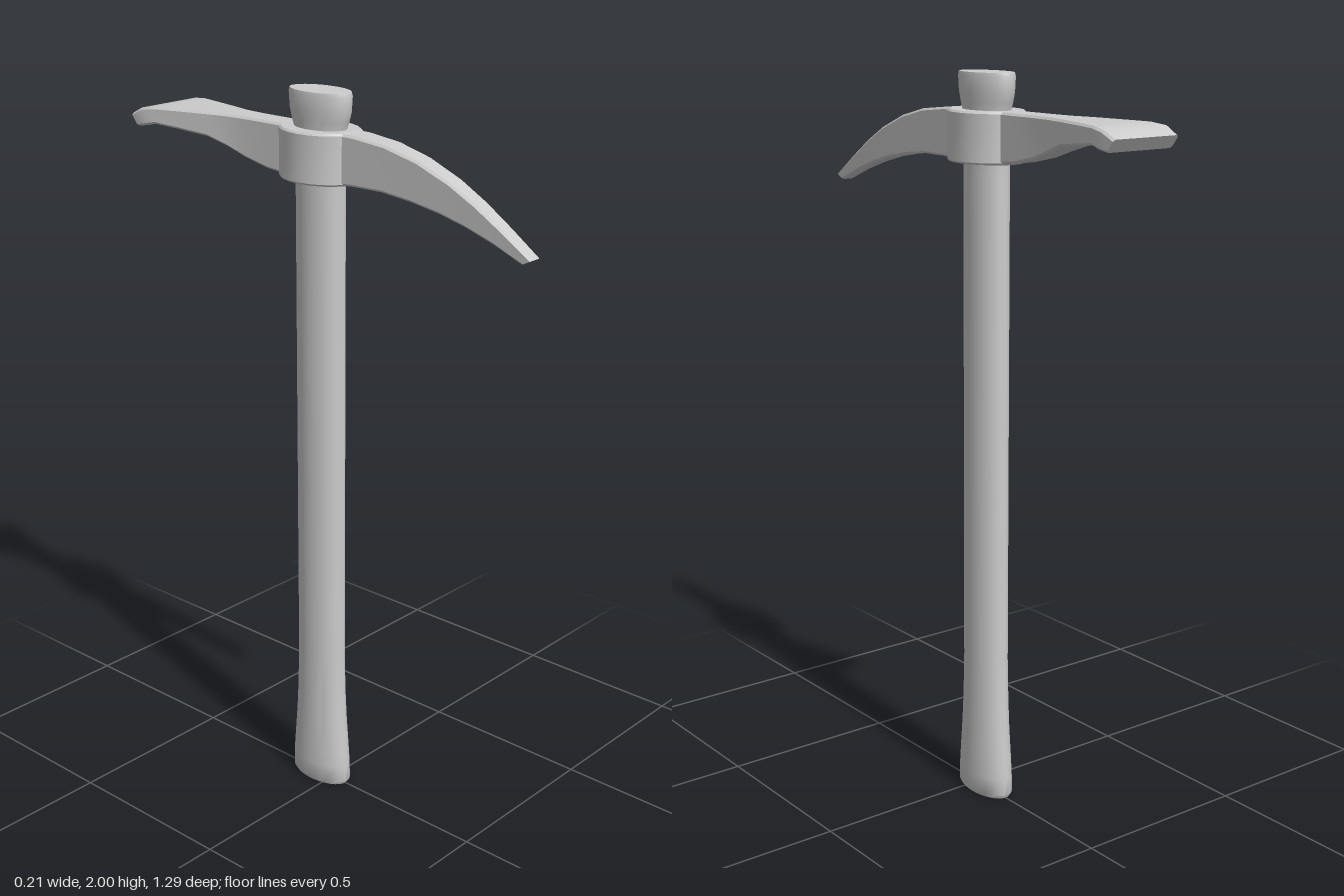
import * as THREE from 'three';
import { toCreasedNormals } from 'three/addons/utils/BufferGeometryUtils.js';

const CENTRE_Z = -0.04; // axis of the handle
const material = new THREE.MeshStandardMaterial({ color: 0xcccccc });

// Skin a list of equal-length rings and close both ends.
// Rings run counter-clockwise when seen from the side they advance towards.
function loft(name, rings, crease = 0.6) {
  const n = rings[0].length;
  const points = rings.flat();
  const index = [];
  for (let r = 0; r < rings.length - 1; r++) {
    for (let i = 0; i < n; i++) {
      const a = r * n + i, b = r * n + (i + 1) % n;
      index.push(a, b, b + n, a, b + n, a + n);
    }
  }
  const last = (rings.length - 1) * n;
  for (let i = 1; i < n - 1; i++) {
    index.push(0, i + 1, i, last, last + i, last + i + 1);
  }
  const geometry = new THREE.BufferGeometry().setFromPoints(points);
  geometry.setIndex(index);
  const mesh = new THREE.Mesh(toCreasedNormals(geometry, crease), material);
  mesh.name = name;
  return mesh;
}

// Horizontal ellipse around the handle axis
function ellipse([y, rx, rz], sides) {
  return Array.from({ length: sides }, (_, i) => {
    const t = (i / sides) * Math.PI * 2;
    return new THREE.Vector3(rx * Math.cos(t), y, CENTRE_Z - rz * Math.sin(t));
  });
}

// Chamfered rectangle spanning a top point and a bottom point in the side plane
function bar([zTop, yTop, zBottom, yBottom, half]) {
  const c = 0.006;
  const v = c / Math.hypot(zTop - zBottom, yTop - yBottom);
  const outline = [
    [half, v], [half, 1 - v], [half - c, 1], [c - half, 1],
    [-half, 1 - v], [-half, v], [c - half, 0], [half - c, 0],
  ];
  return outline.map(([x, t]) => new THREE.Vector3(
    x,
    THREE.MathUtils.lerp(yBottom, yTop, t),
    THREE.MathUtils.lerp(zBottom, zTop, t),
  ));
}

export function createModel() {
  const group = new THREE.Group();
  group.name = 'pickaxe';

  // Oval wooden shaft, flared at the grip and above the head: y, rx, rz
  const shaft = [
    [0, 0.049, 0.092], [0.01, 0.055, 0.098], [0.06, 0.055, 0.097],
    [0.12, 0.054, 0.092], [0.2, 0.052, 0.085], [0.28, 0.051, 0.08],
    [0.4, 0.05, 0.076], [1.74, 0.05, 0.075], [1.9, 0.05, 0.078],
    [1.925, 0.052, 0.088], [1.95, 0.054, 0.095], [1.99, 0.055, 0.098],
    [2, 0.053, 0.095],
  ];
  group.add(loft('handle', shaft.map((s) => ellipse(s, 32))));

  // Collar gripping the shaft
  const collar = [
    [1.772, 0.086, 0.114], [1.777, 0.091, 0.119],
    [1.9, 0.091, 0.119], [1.905, 0.086, 0.114],
  ];
  group.add(loft('collar', collar.map((s) => ellipse(s, 20))));

  // Curved pick: zTop, yTop, zBottom, yBottom, half width
  const pick = [
    [0.04, 1.905, 0.04, 1.773, 0.039], [0.1, 1.904, 0.1, 1.776, 0.037],
    [0.2, 1.894, 0.19, 1.776, 0.034], [0.3, 1.87, 0.28, 1.766, 0.031],
    [0.4, 1.831, 0.37, 1.75, 0.028], [0.48, 1.789, 0.45, 1.729, 0.025],
    [0.56, 1.739, 0.53, 1.702, 0.022], [0.645, 1.682, 0.615, 1.667, 0.019],
  ];
  group.add(loft('pick', pick.map(bar)));

  // Flat adze blade, from its cutting edge back to the collar
  const blade = [
    [-0.645, 1.877, -0.62, 1.845, 0.102], [-0.605, 1.897, -0.59, 1.851, 0.105],
    [-0.56, 1.903, -0.56, 1.857, 0.096], [-0.5, 1.904, -0.5, 1.851, 0.081],
    [-0.4, 1.905, -0.4, 1.84, 0.058], [-0.34, 1.905, -0.34, 1.82, 0.044],
    [-0.28, 1.905, -0.28, 1.799, 0.039], [-0.2, 1.905, -0.2, 1.781, 0.038],
    [-0.12, 1.905, -0.12, 1.773, 0.038],
  ];
  group.add(loft('adzeBlade', blade.map(bar)));

  return group;
}
